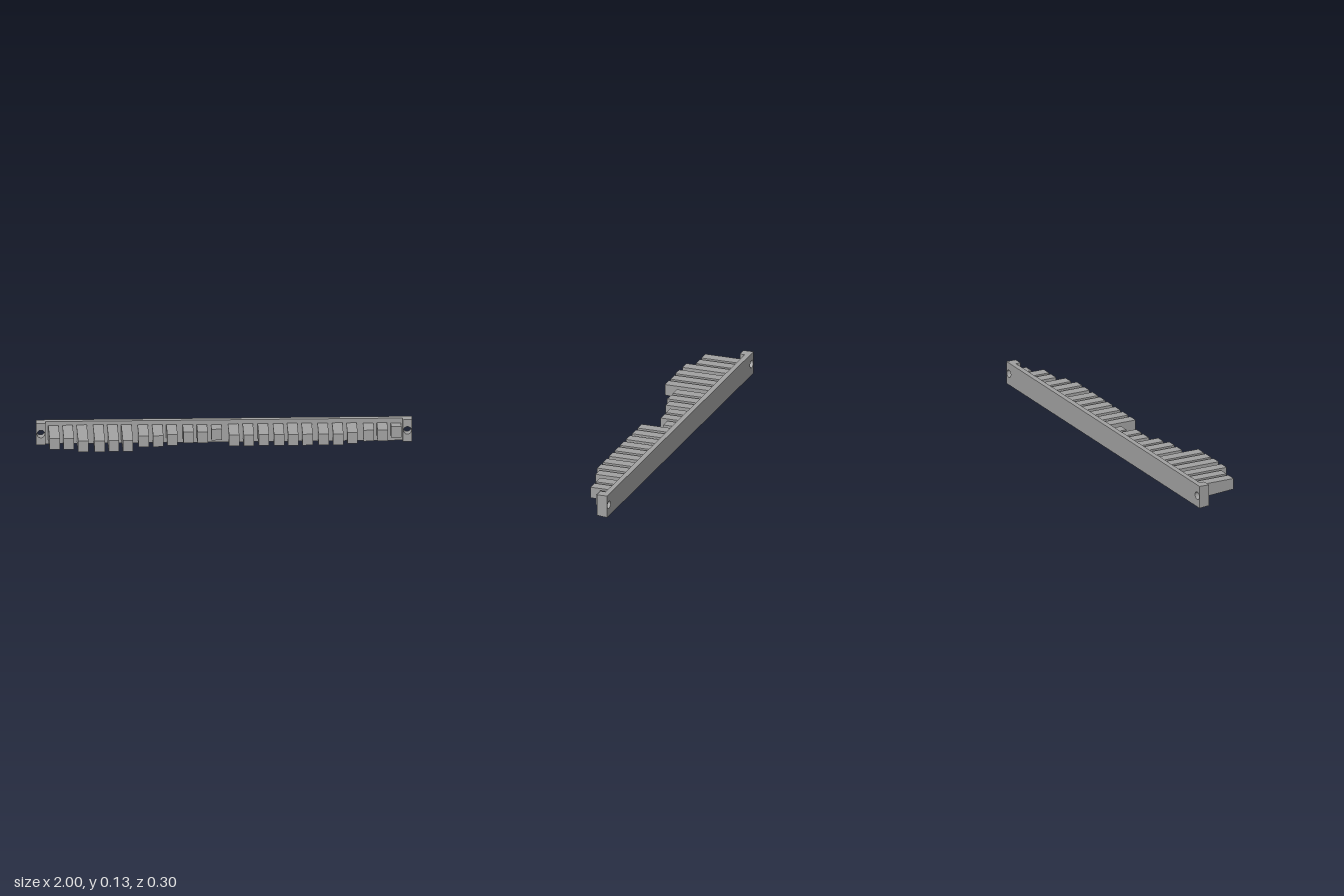
import * as THREE from 'three';
import { toCreasedNormals } from 'three/addons/utils/BufferGeometryUtils.js';

const BACK = -0.15, PLATE_FRONT = -0.12, LUG_FRONT = -0.092, MID_Y = 0.063;
const DRAFT = 0.0375; // height lost per unit of depth on each side

export function createModel() {
  const model = new THREE.Group();
  model.name = 'toothedBar';
  const grey = new THREE.MeshStandardMaterial({ color: 0xa2a2a2 });
  grey.name = 'grey';

  function add(name, geometry) {
    const mesh = new THREE.Mesh(geometry, grey);
    mesh.name = name;
    model.add(mesh);
  }

  // Slab between two x positions, with screw holes and a drafted top and bottom
  function slab(x0, x1, z0, z1, holes) {
    const shape = new THREE.Shape();
    shape.moveTo(x0, 0).lineTo(x1, 0).lineTo(x1, 2 * MID_Y).lineTo(x0, 2 * MID_Y).closePath();
    for (const x of holes) {
      shape.holes.push(new THREE.Path().absarc(x, MID_Y + 0.001, 0.021, 0, Math.PI * 2, true));
    }
    const g = new THREE.ExtrudeGeometry(shape, { depth: z1 - z0, bevelEnabled: false, curveSegments: 16 });
    g.translate(0, 0, z0);
    const p = g.attributes.position;
    for (let i = 0; i < p.count; i++) {
      const d = p.getY(i) - MID_Y;
      if (Math.abs(d) > 0.05) p.setY(i, p.getY(i) - Math.sign(d) * 0.05 * (p.getZ(i) - BACK));
    }
    return toCreasedNormals(g, 0.6);
  }

  // Back plate and the thicker lugs at both ends
  add('backPlate', slab(-1, 1, BACK, PLATE_FRONT, [-0.975, 0.975]));
  add('rightLug', slab(-1, -0.95, PLATE_FRONT, LUG_FRONT, [-0.975]));
  add('leftLug', slab(0.95, 1, PLATE_FRONT, LUG_FRONT, [0.975]));

  // Teeth: centre x and tip z; every tip has the same height, growing toward the root
  const teeth = [
    [-0.908, 0.1], [-0.833, 0.1], [-0.758, 0.147], [-0.67, 0.15], [-0.595, 0.147], [-0.52, 0.147],
    [-0.433, 0.065], [-0.356, 0.065], [-0.28, 0.042], [-0.193, 0.002], [-0.118, 0.002], [-0.042, -0.045],
    [0.048, 0.065], [0.126, 0.065], [0.206, 0.065], [0.287, 0.065], [0.362, 0.065], [0.439, 0.065],
    [0.524, 0.065], [0.602, 0.065], [0.678, 0.042], [0.766, 0.002], [0.84, 0.002], [0.914, -0.062],
  ];
  teeth.forEach(([x, tip], i) => {
    const depth = tip - PLATE_FRONT;
    const g = new THREE.BoxGeometry(0.055, 0.061, depth);
    g.translate(x, 0.0645, (tip + PLATE_FRONT) / 2);
    const p = g.attributes.position;
    for (let k = 0; k < p.count; k++) {
      p.setY(k, p.getY(k) + Math.sign(p.getY(k) - 0.0645) * DRAFT * (tip - p.getZ(k)));
    }
    g.computeVertexNormals();
    add('tooth' + (i + 1), g);
  });

  return model;
}
